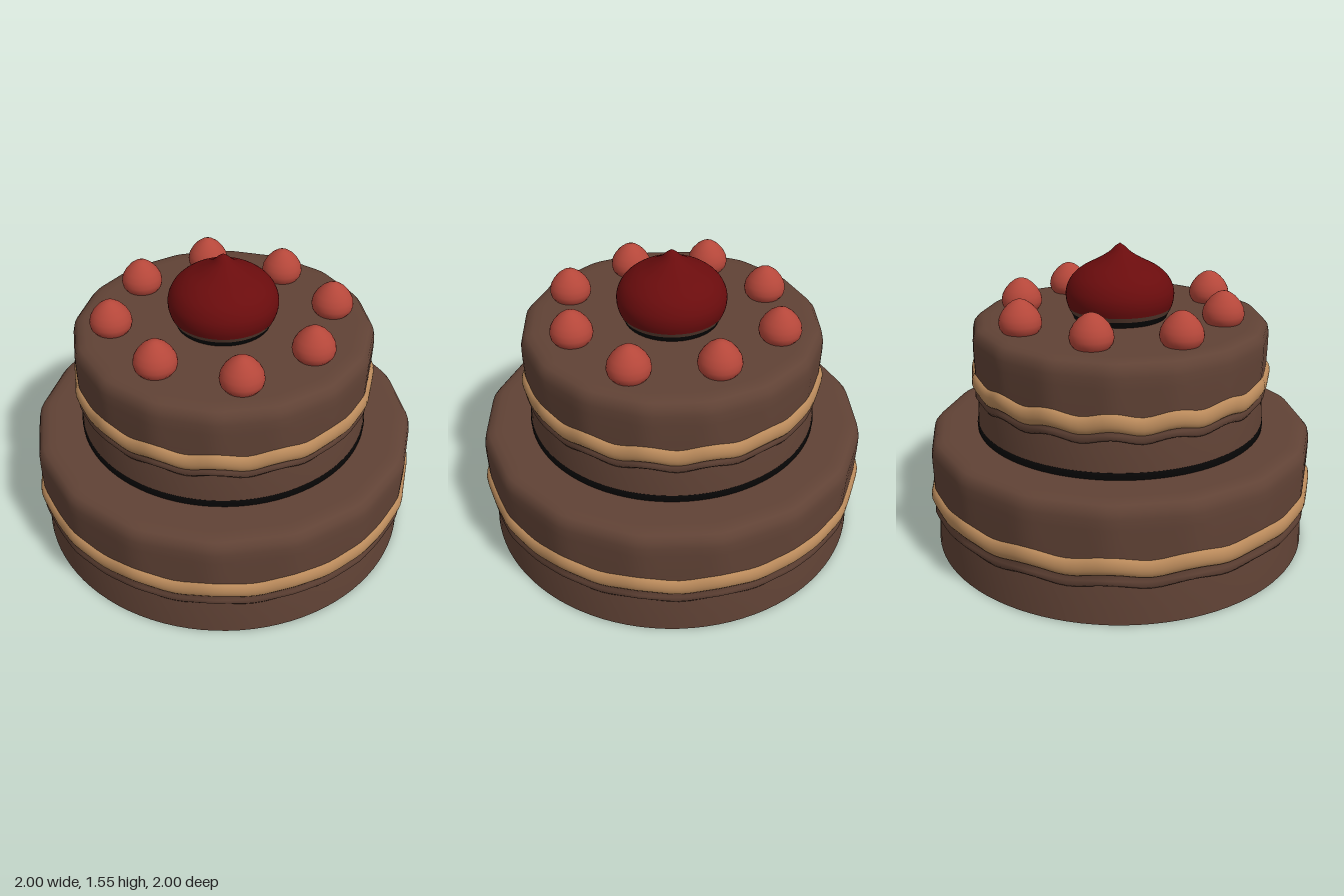
import * as THREE from 'three';
import { mergeVertices } from 'three/addons/utils/BufferGeometryUtils.js';

const WAVES = 16;
const material = (name, color) => {
  const m = new THREE.MeshStandardMaterial({ color });
  m.name = name;
  return m;
};

// Smooth turned solid; profile runs from bottom to top as [radius, y]
function turned(profile, segments, move) {
  const points = profile.map(([r, y]) => new THREE.Vector2(r, y));
  let g = new THREE.LatheGeometry(points, segments);
  if (move) {
    const p = g.attributes.position;
    for (let i = 0; i < p.count; i++) {
      const x = p.getX(i), y = p.getY(i), z = p.getZ(i);
      const [k, dy] = move(Math.atan2(x, z), y);
      p.setXYZ(i, x * k, y + dy, z * k);
    }
  }
  // Weld the seam so the shading runs round without a break
  g.deleteAttribute('uv');
  g.deleteAttribute('normal');
  g = mergeVertices(g, 1e-4);
  g.computeVertexNormals();
  return g;
}

// Soft sixteen-sided outline
function facet(angle) {
  const step = (2 * Math.PI) / WAVES;
  const d = Math.abs(angle - Math.round(angle / step) * step);
  return 1 / Math.cos(Math.min(d, 0.17));
}

export function createModel() {
  const cake = new THREE.Group();
  cake.name = 'cake';

  const chocolate = material('chocolate', 0x604235);
  const caramel = material('caramel', 0xba8a5b);
  const black = material('black', 0x070606);
  const strawberryRed = material('strawberry red', 0xb5473a);
  const darkRed = material('dark red', 0x6a0c0d);

  const add = (parent, name, geometry, mat) => {
    const mesh = new THREE.Mesh(geometry, mat);
    mesh.name = name;
    parent.add(mesh);
    return mesh;
  };

  // One tier: sponge, draped icing and wavy caramel band
  function tier(name, r, bottom, lip, band, top) {
    const group = new THREE.Group();
    group.name = name;
    cake.add(group);
    const amp = 0.013;
    const wave = (a) => -amp * Math.cos(WAVES * a);

    add(group, 'sponge', turned([
      [r, bottom], [r - 0.004, bottom + 0.08], [r - 0.012, lip], [r - 0.02, lip + 0.05],
    ], 96), chocolate);

    // Icing: the lower edge waves, the top stays level
    add(group, 'icing', turned([
      [r - 0.03, lip + 0.01], [r - 0.006, lip], [r + 0.004, lip + 0.014],
      [r + 0.002, lip + 0.035], [r - 0.006, lip + 0.06], [r - 0.002, band + 0.06],
      [r + 0.001, top - 0.12], [r, top - 0.07], [r - 0.008, top - 0.035],
      [r - 0.028, top - 0.011], [r - 0.06, top - 0.002], [r - 0.1, top], [0, top],
    ], 128, (a, y) => {
      const fade = THREE.MathUtils.clamp((band - y) / (band - lip), 0, 1);
      return [facet(a), wave(a) * fade];
    }), chocolate);

    // Caramel band: half-round bead
    const bead = [];
    for (let i = 0; i <= 10; i++) {
      const t = -Math.PI / 2 + (Math.PI * i) / 10;
      bead.push([r - 0.014 + 0.031 * Math.cos(t), band + 0.048 * Math.sin(t)]);
    }
    add(group, 'caramelBand', turned(bead, 128, (a) => [facet(a), wave(a)]), caramel);
    return group;
  }

  const lower = tier('lowerTier', 0.982, 0, 0.2, 0.303, 0.615);
  const upper = tier('upperTier', 0.745, 0.615, 0.8, 0.888, 1.18);

  // Black underside of the lower tier
  const underside = add(lower, 'underside', new THREE.CircleGeometry(0.982, 96), black);
  underside.rotation.x = Math.PI / 2;

  // Black strip round the foot of the upper tier
  add(upper, 'footStrip', turned([
    [0.746, 0.612], [0.748, 0.635], [0.745, 0.65], [0.735, 0.653],
  ], 96), black);

  // Large pointed dollop in the middle
  const dollop = new THREE.Group();
  dollop.name = 'dollop';
  cake.add(dollop);
  add(dollop, 'dollopFoot', turned([[0.236, 1.178], [0.252, 1.213]], 64), black);
  add(dollop, 'dollopRim', turned([[0.252, 1.211], [0.265, 1.235]], 64), chocolate);
  const outline = new THREE.SplineCurve([
    [0.262, 1.232], [0.273, 1.275], [0.27, 1.325], [0.243, 1.38], [0.19, 1.427],
    [0.118, 1.465], [0.058, 1.502], [0.026, 1.532], [0, 1.55],
  ].map(([x, y]) => new THREE.Vector2(x, y)));
  const curvePoints = outline.getPoints(32).map((p) => [Math.max(0, p.x), p.y]);
  add(dollop, 'dollopBody', turned(curvePoints, 64), darkRed);

  // Ring of eight strawberries
  const berry = turned([
    [0.085, 0], [0.1, 0.02], [0.105, 0.045], [0.1, 0.075], [0.084, 0.105],
    [0.06, 0.133], [0.035, 0.152], [0.015, 0.16], [0, 0.162],
  ], 32);
  for (let i = 0; i < 8; i++) {
    const a = (i * Math.PI) / 4;
    const r = i % 2 ? 0.555 : 0.527;
    const mesh = add(cake, 'strawberry', berry, strawberryRed);
    mesh.position.set(r * Math.sin(a), 1.178, r * Math.cos(a));
  }

  return cake;
}
